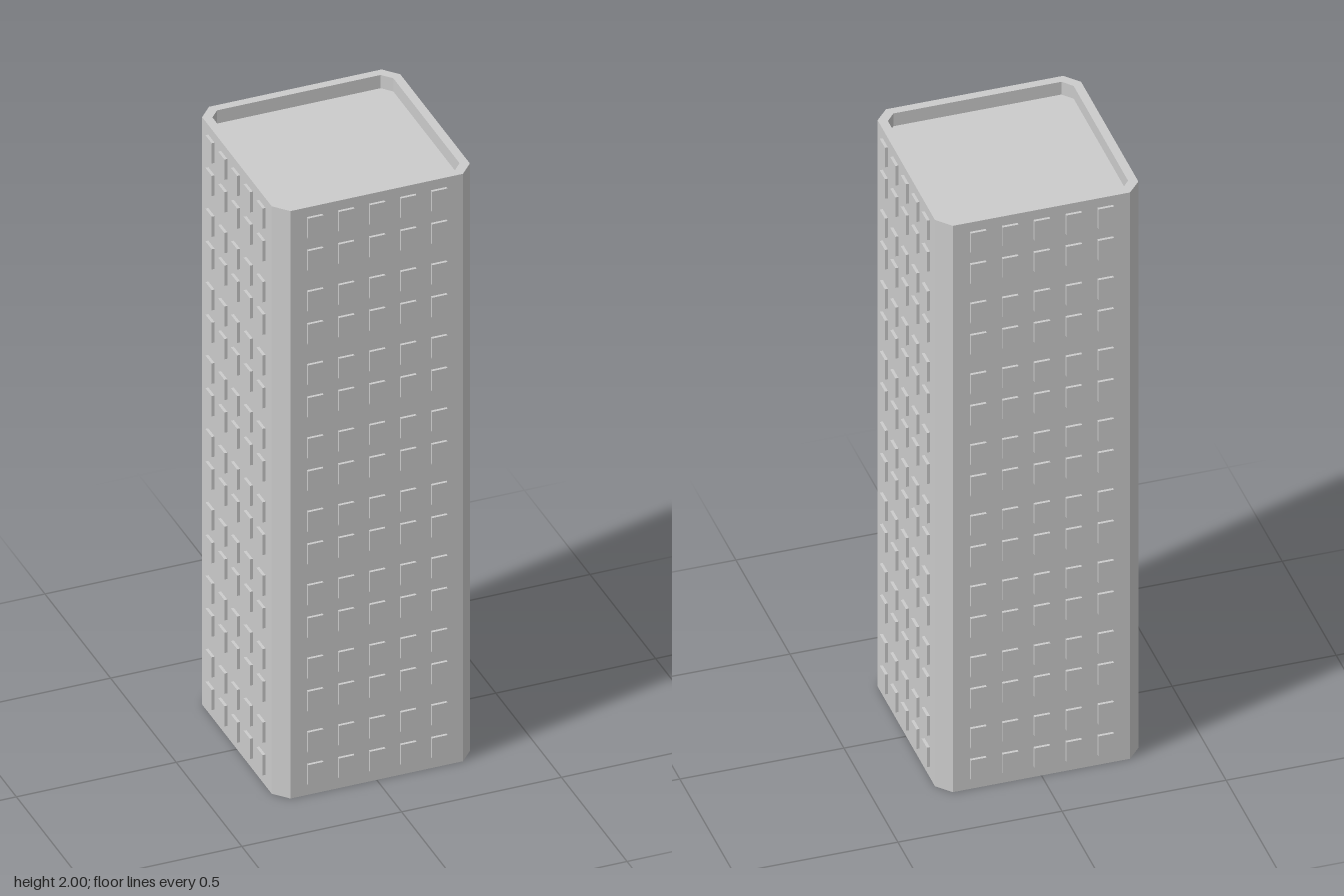
import * as THREE from 'three';
import { mergeGeometries } from 'three/addons/utils/BufferGeometryUtils.js';

const HALF = 0.31, HEIGHT = 2, ROOF_Y = 1.955;
const FACE_X = 0.27, FACE_Z = 0.265; // half widths of the flat facades
const WIN_W = 0.048, WIN_H = 0.069, WIN_D = 0.009;
const FLOORS = 8, COLUMNS = 5, COLUMN_STEP = 0.097;

// Chamfered square, counter-clockwise seen from above; odd edges are the chamfers
const outline = (h, cx, cz) => [
  [h, -cz], [h, cz], [cx, h], [-cx, h], [-h, cz], [-h, -cz], [-cx, -h], [cx, -h],
].map(([x, y]) => new THREE.Vector2(x, y));

// Flat quads joining two outlines at given heights
function band(ringA, yA, ringB, yB, useEdge = () => true) {
  const pos = [];
  const n = ringA.length;
  for (let i = 0; i < n; i++) {
    if (!useEdge(i)) continue;
    const j = (i + 1) % n;
    const corner = (p, y) => [p.x, y, -p.y];
    const a = corner(ringA[i], yA), b = corner(ringA[j], yA);
    const c = corner(ringB[j], yB), d = corner(ringB[i], yB);
    pos.push(...a, ...b, ...c, ...a, ...c, ...d);
  }
  const geo = new THREE.BufferGeometry();
  geo.setAttribute('position', new THREE.Float32BufferAttribute(pos, 3));
  geo.computeVertexNormals();
  return geo;
}

// Window centres: two rows per floor
function windowCentres() {
  const list = [];
  for (let f = 0; f < FLOORS; f++)
    for (const row of [0.072, 0.183])
      for (let c = 0; c < COLUMNS; c++)
        list.push([(c - (COLUMNS - 1) / 2) * COLUMN_STEP, row + f * 0.25]);
  return list;
}

// Wall sheet with window openings, and shallow boxes standing out of them
function facade(halfWidth, material) {
  const wall = new THREE.Shape();
  wall.moveTo(-halfWidth, 0).lineTo(halfWidth, 0);
  wall.lineTo(halfWidth, HEIGHT).lineTo(-halfWidth, HEIGHT).closePath();

  const box = new THREE.BoxGeometry(WIN_W, WIN_H, WIN_D);
  box.setIndex(Array.from(box.index.array).slice(0, 30)); // open at the back
  box.clearGroups();

  const boxes = windowCentres().map(([x, y]) => {
    const w = WIN_W / 2, h = WIN_H / 2;
    const hole = new THREE.Path();
    hole.moveTo(x - w, y - h).lineTo(x - w, y + h);
    hole.lineTo(x + w, y + h).lineTo(x + w, y - h).closePath();
    wall.holes.push(hole);
    return box.clone().translate(x, y, WIN_D / 2);
  });

  const group = new THREE.Group();
  const wallMesh = new THREE.Mesh(new THREE.ShapeGeometry(wall), material);
  const windowMesh = new THREE.Mesh(mergeGeometries(boxes), material);
  wallMesh.name = 'wall';
  windowMesh.name = 'windows';
  wallMesh.position.z = windowMesh.position.z = HALF;
  group.add(wallMesh, windowMesh);
  return group;
}

export function createModel() {
  const tower = new THREE.Group();
  tower.name = 'tower';
  const material = new THREE.MeshStandardMaterial({
    color: 0xcccccc, flatShading: true, side: THREE.DoubleSide,
  });
  const add = (name, geometry) => {
    const mesh = new THREE.Mesh(geometry, material);
    mesh.name = name;
    tower.add(mesh);
    return mesh;
  };

  // Four facades
  ['frontFacade', 'leftFacade', 'backFacade', 'rightFacade'].forEach((name, i) => {
    const side = facade(i % 2 ? FACE_Z : FACE_X, material);
    side.name = name;
    side.rotation.y = i * Math.PI / 2;
    tower.add(side);
  });

  // Chamfered corners, open at the bottom like the walls
  const outer = outline(HALF, FACE_X, FACE_Z);
  const inner = outline(0.283, 0.256, 0.252);
  add('cornerChamfers', band(outer, 0, outer, HEIGHT, (i) => i % 2 === 1));

  // Parapet around the sunken roof
  add('parapetTop', band(outer, HEIGHT, inner, HEIGHT));
  add('parapetInside', band(inner, HEIGHT, inner, ROOF_Y));
  const roof = add('roof', new THREE.ShapeGeometry(new THREE.Shape(inner)));
  roof.rotation.x = -Math.PI / 2;
  roof.position.y = ROOF_Y;

  return tower;
}
